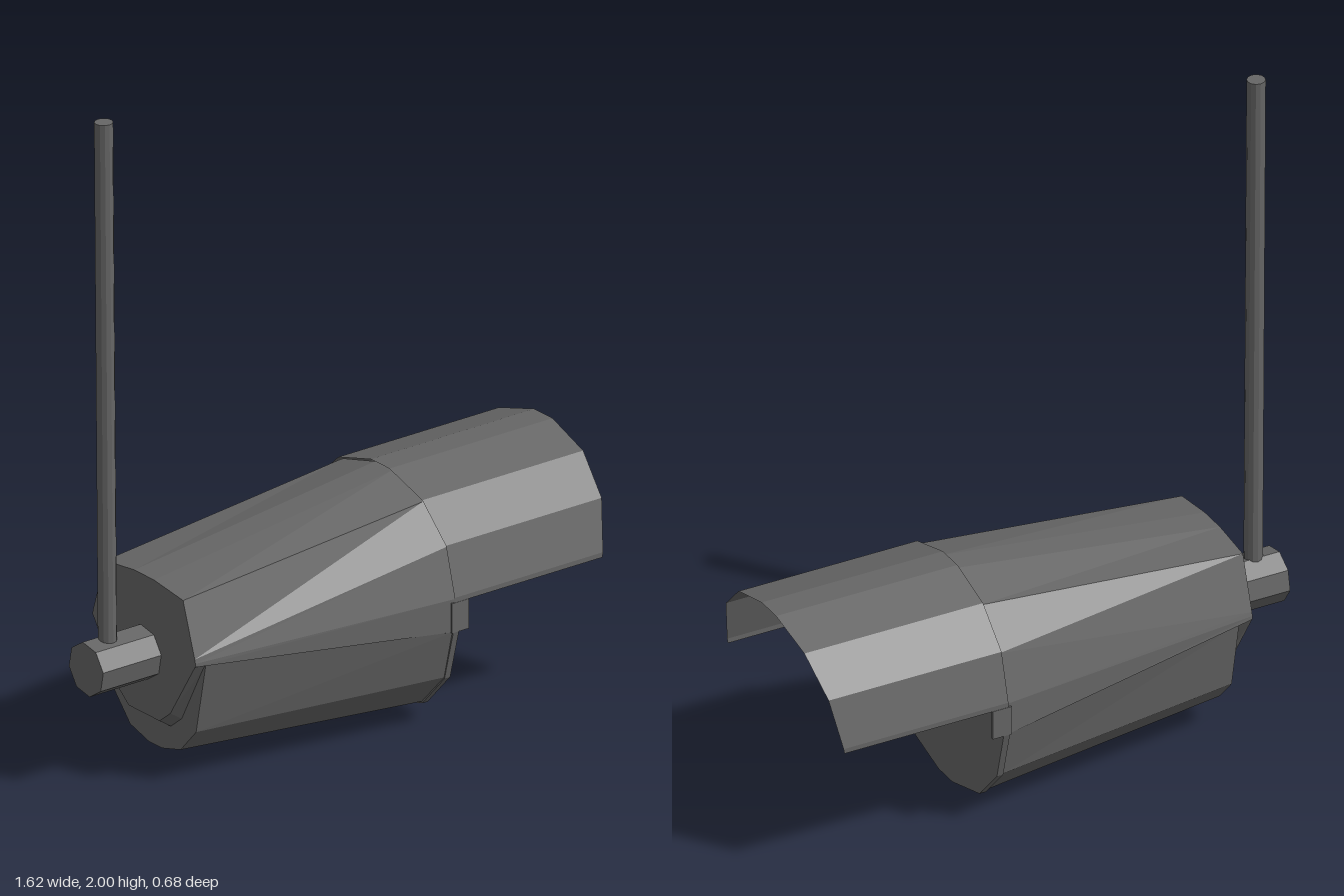
import * as THREE from 'three';

const material = new THREE.MeshStandardMaterial({ color: 0x666666, flatShading: true, side: THREE.DoubleSide });

// Half profiles are [z, y] pairs; these mirror them into a full arc.
const archOver = (half) => [...half, ...half.slice().reverse().map(([z, y]) => [-z, y])];
const archUnder = (half) => archOver(half.map(([z, y]) => [-z, y]));

// Place a [z, y] profile at x, which may depend on y.
const at = (x, profile) => profile.map(([z, y]) => new THREE.Vector3(typeof x === 'function' ? x(y) : x, y, z));

// Skin a row of cross-sections running from back to front, with optional flat ends.
function loft(name, sections, capBack = false, capFront = false) {
  const pos = [];
  const tri = (...pts) => pts.forEach((p) => pos.push(p.x, p.y, p.z));
  for (let s = 0; s < sections.length - 1; s++) {
    const a = sections[s], b = sections[s + 1];
    for (let i = 0; i < a.length - 1; i++) {
      tri(a[i], b[i], b[i + 1]);
      tri(a[i], b[i + 1], a[i + 1]);
    }
  }
  const back = sections[0], front = sections[sections.length - 1];
  for (let i = 1; i < back.length - 1; i++) {
    if (capBack) tri(back[0], back[i], back[i + 1]);
    if (capFront) tri(front[0], front[i + 1], front[i]);
  }
  const geometry = new THREE.BufferGeometry();
  geometry.setAttribute('position', new THREE.Float32BufferAttribute(pos, 3));
  geometry.computeVertexNormals();
  return part(name, geometry);
}

function part(name, geometry) {
  const mesh = new THREE.Mesh(geometry, material);
  mesh.name = name;
  return mesh;
}

export function createModel() {
  const group = new THREE.Group();
  group.name = 'wallCamera';

  // Upper casing, widening towards the front; its side facets taper to a point at the back
  const upperBack = archOver([[0.235, 0.39], [0.234, 0.4], [0.231, 0.412], [0.178, 0.574], [0.045, 0.591]]);
  const upperFront = archOver([[0.338, 0.31], [0.337, 0.41], [0.297, 0.555], [0.188, 0.655], [0.04, 0.697]]);
  group.add(loft('upperCasing', [at(-0.605, upperBack), at(0.235, upperFront), at(0.245, upperFront)], true, true));

  // Lower casing with a slight lip at the front
  const lowerBack = archUnder([[0.23, 0.385], [0.186, 0.165], [0.115, 0.087], [0.03, 0.063]]);
  const lowerFront = archUnder([[0.335, 0.31], [0.298, 0.16], [0.196, 0.052], [0.04, 0.016]]);
  const lip = archUnder([[0.34, 0.31], [0.3, 0.157], [0.198, 0.047], [0.04, 0.002]]);
  group.add(loft('lowerCasing',
    [at(-0.565, lowerBack), at(0.225, lowerFront), at(0.225, lip), at(0.245, lip)], true, true));

  // Tapered plate closing the back beneath the upper casing
  const plate = archUnder([[0.233, 0.39], [0.12, 0.21], [0.07, 0.17]]);
  const plateInner = archUnder([[0.228, 0.385], [0.12, 0.18], [0.07, 0.14]]);
  group.add(loft('backPlate', [at(-0.605, plate), at(-0.56, plateInner)], true, false));

  // Open sun hood with a raked front edge
  const hood = archOver([[0.34, 0.4], [0.34, 0.415], [0.3, 0.56], [0.192, 0.662], [0.042, 0.707]]);
  group.add(loft('sunHood', [at(0.23, hood), at((y) => 0.752 + (y - 0.4) * 0.18, hood)]));

  // Side clips holding the hood
  for (const side of [1, -1]) {
    const clip = part(side > 0 ? 'leftHoodClip' : 'rightHoodClip', new THREE.BoxGeometry(0.06, 0.09, 0.01));
    clip.position.set(0.25, 0.355, side * 0.336);
    group.add(clip);
  }

  // Lens ring with a conical recess
  const ring = [[0.134, 0], [0.134, 0.055], [0.114, 0.055], [0.03, 0.01], [0, 0.01]];
  const lens = part('lensRing', new THREE.LatheGeometry(ring.map(([r, h]) => new THREE.Vector2(r, h)), 10));
  lens.rotation.z = -Math.PI / 2;
  lens.position.set(0.242, 0.357, 0);
  group.add(lens);

  const bulb = part('lensCentre', new THREE.SphereGeometry(0.028, 10, 8));
  bulb.position.set(0.265, 0.357, 0);
  group.add(bulb);

  // Rear mounting stub
  const stub = part('mountStub', new THREE.CylinderGeometry(0.08, 0.08, 0.25, 8, 1, false, 0.2));
  stub.rotation.z = Math.PI / 2;
  stub.position.set(-0.685, 0.357, 0);
  group.add(stub);

  // Hanging pole, leaning very slightly backwards
  const pole = part('pole', new THREE.CylinderGeometry(0.027, 0.027, 1.61, 12));
  pole.rotation.x = -0.011;
  pole.position.set(-0.735, 1.195, -0.008);
  group.add(pole);

  return group;
}
